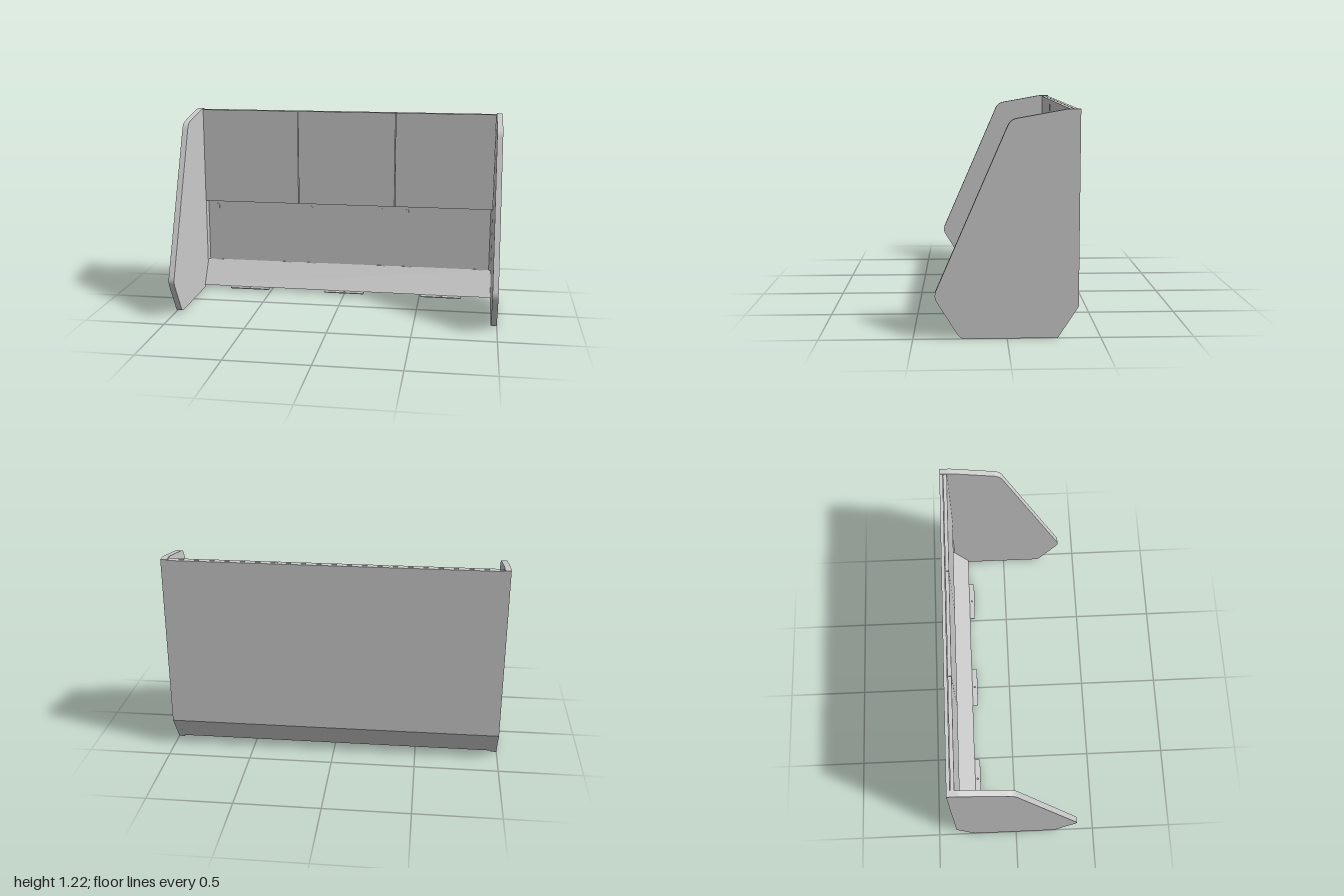
import * as THREE from 'three';

const material = new THREE.MeshStandardMaterial({ color: 0xcccccc, flatShading: true });
const SIDE = 0.035, INNER = 1 - SIDE;

function add(parent, name, geometry, x = 0, y = 0, z = 0) {
  const mesh = new THREE.Mesh(geometry, material);
  mesh.name = name;
  mesh.position.set(x, y, z);
  parent.add(mesh);
  return mesh;
}

// Extrudes a (z, y) outline along x, centred on x = 0
function extrudeAcross(shape, width) {
  const g = new THREE.ExtrudeGeometry(shape, { depth: width, bevelEnabled: false, curveSegments: 10 });
  g.rotateY(-Math.PI / 2);
  return g.translate(width / 2, 0, 0);
}

function roundedRect(w, h, r) {
  const s = new THREE.Shape();
  s.absarc(w / 2 - r, h / 2 - r, r, 0, Math.PI / 2);
  s.absarc(-w / 2 + r, h / 2 - r, r, Math.PI / 2, Math.PI);
  s.absarc(-w / 2 + r, -h / 2 + r, r, Math.PI, Math.PI * 1.5);
  s.absarc(w / 2 - r, -h / 2 + r, r, Math.PI * 1.5, Math.PI * 2);
  s.closePath();
  return s;
}

export function createModel() {
  const model = new THREE.Group();
  model.name = 'wallHutch';

  // Side panels with softened front corners
  const side = new THREE.Shape();
  side.moveTo(-0.38, 0.17);
  side.lineTo(-0.27, 0);
  side.lineTo(0.22, 0);
  side.quadraticCurveTo(0.249, 0, 0.264, 0.024);
  side.lineTo(0.372, 0.2);
  side.quadraticCurveTo(0.39, 0.23, 0.375, 0.263);
  side.lineTo(0.002, 1.12);
  side.quadraticCurveTo(-0.014, 1.16, -0.05, 1.167);
  side.lineTo(-0.3, 1.212);
  side.quadraticCurveTo(-0.315, 1.215, -0.33, 1.215);
  side.lineTo(-0.38, 1.215);
  side.closePath();
  const sideGeometry = extrudeAcross(side, SIDE);
  for (const s of [-1, 1]) add(model, s > 0 ? 'leftSide' : 'rightSide', sideGeometry, s * (1 - SIDE / 2));

  // Back sheet folded forward at the bottom
  const back = new THREE.Shape([
    [-0.38, 1.21], [-0.38, 0.17], [-0.277, 0.012], [-0.255, 0.018], [-0.36, 0.176], [-0.36, 1.21],
  ].map(([z, y]) => new THREE.Vector2(z, y)));
  add(model, 'foldedBack', extrudeAcross(back, INNER * 2));

  // Three upper front panels with narrow gaps
  const pitch = INNER * 2 / 3;
  for (let i = -1; i <= 1; i++)
    add(model, 'upperPanel', new THREE.BoxGeometry(pitch - 0.004, 0.62, 0.021), i * pitch, 0.9, -0.3465);

  // Angled corner strips beside the open back
  for (const s of [-1, 1]) {
    const strip = add(model, 'cornerStrip', new THREE.BoxGeometry(0.02, 0.42, 0.02), s * INNER, 0.385, -0.36);
    strip.rotation.y = Math.PI / 4;
  }

  // Pill-shaped fittings under the panels and small lugs at the fold
  const pill = new THREE.ExtrudeGeometry(roundedRect(0.02, 0.06, 0.0099), { depth: 0.004, bevelEnabled: false });
  for (const x of [-0.885, -0.41, -0.24, 0.235, 0.405, 0.88]) {
    add(model, 'pillFitting', pill, x, 0.54, -0.361);
    add(model, 'foldLug', new THREE.BoxGeometry(0.06, 0.005, 0.008), x, 0.175, -0.36);
  }

  // Mounting tabs along the bottom edge, each with a screw hole
  const tab = roundedRect(0.265, 0.055, 0.01);
  const hole = new THREE.Path();
  hole.absarc(0, -0.008, 0.005, 0, Math.PI * 2, true);
  tab.holes.push(hole);
  const tabGeometry = new THREE.ExtrudeGeometry(tab, { depth: 0.006, bevelEnabled: false });
  tabGeometry.rotateX(-Math.PI / 2);
  for (let i = -1; i <= 1; i++) add(model, 'mountingTab', tabGeometry, i * 0.643, 0.012, -0.2475);

  return model;
}
